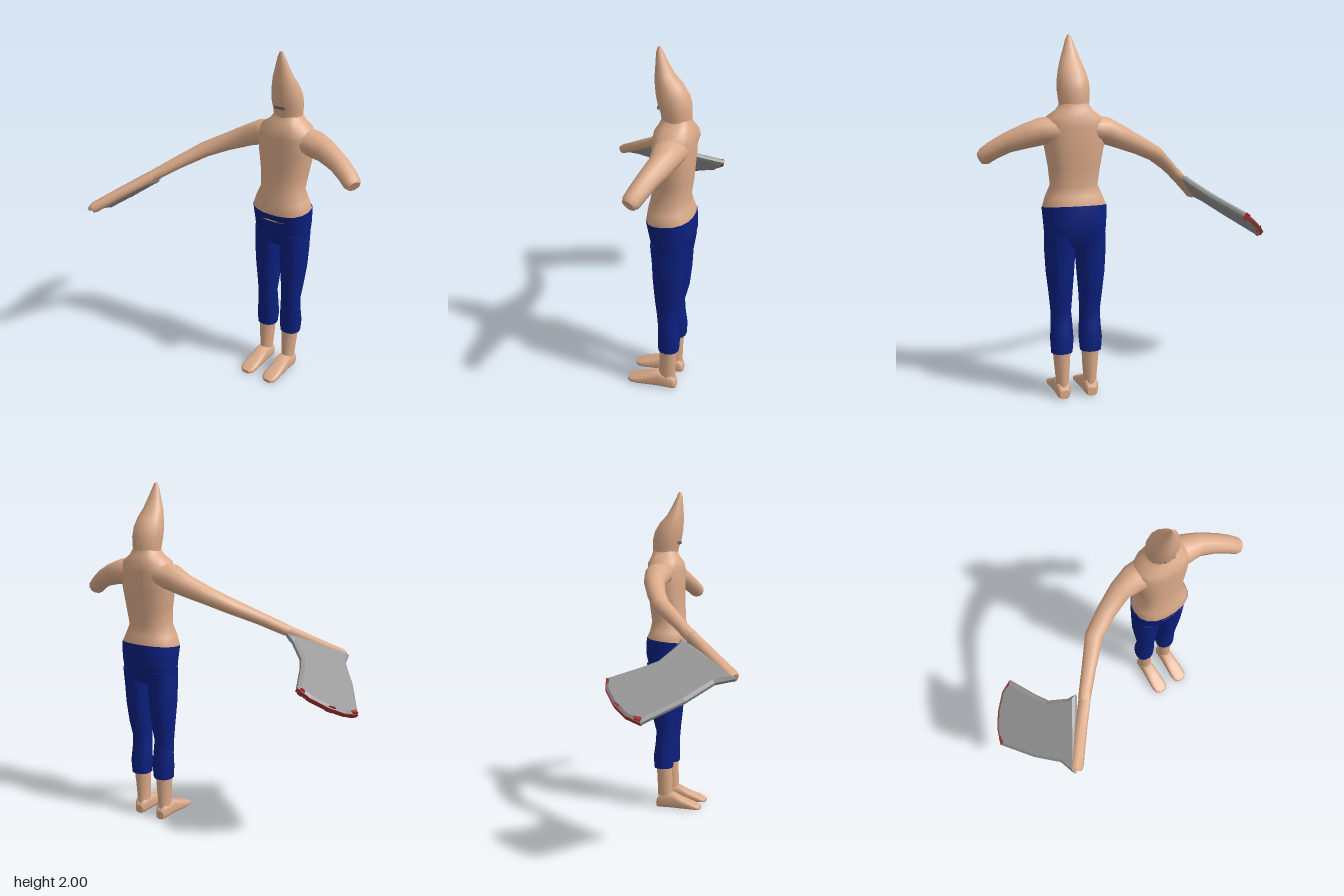
import * as THREE from 'three';

const V = (x, y, z) => new THREE.Vector3(x, y, z);
const mat = (name, color, side = THREE.FrontSide) => {
  const m = new THREE.MeshStandardMaterial({ color, side });
  m.name = name;
  return m;
};

// Superellipse ring: centre, two axes with radii, roundness power, lean along y
function ring(c, u, v, ru, rv, n = 16, p = 0.85) {
  return Array.from({ length: n }, (_, i) => {
    const a = (i / n) * Math.PI * 2;
    const e = (t) => Math.sign(t) * Math.pow(Math.abs(t), p);
    return c.clone().addScaledVector(u, ru * e(Math.cos(a))).addScaledVector(v, rv * e(Math.sin(a)));
  });
}

// Smooth skin over a stack of rings, with flat caps
function loft(rings) {
  const n = rings[0].length, pos = [], idx = [];
  rings.forEach((r) => r.forEach((q) => pos.push(q.x, q.y, q.z)));
  for (let i = 0; i < rings.length - 1; i++)
    for (let j = 0; j < n; j++) {
      const a = i * n + j, b = i * n + ((j + 1) % n);
      idx.push(a, a + n, b, b, a + n, b + n);
    }
  [rings[0], rings[rings.length - 1]].forEach((r, end) => {
    const s = pos.length / 3;
    r.forEach((q) => pos.push(q.x, q.y, q.z));
    for (let j = 1; j < n - 1; j++) end ? idx.push(s, s + j + 1, s + j) : idx.push(s, s + j, s + j + 1);
  });
  const g = new THREE.BufferGeometry();
  g.setAttribute('position', new THREE.Float32BufferAttribute(pos, 3));
  g.setIndex(idx);
  g.computeVertexNormals();
  return g;
}

// Upright loft from rows [y, centre x, half width, front z, back z, lean]
const upright = (rows, n, p) => loft(rows.map(([y, x, w, f, b, lean = 0]) =>
  ring(V(x, y, (f + b) / 2), V(1, 0, 0), V(0, lean, 1), w, (f - b) / 2, n, p)));

// Limb along a path from rows [x, y, z, half height, half depth]
function limb(rows, n = 12, p = 1) {
  const pts = rows.map((r) => V(r[0], r[1], r[2]));
  return loft(rows.map((r, i) => {
    const d = pts[Math.min(i + 1, pts.length - 1)].clone().sub(pts[Math.max(i - 1, 0)]).normalize();
    const up = V(0, 1, 0).addScaledVector(d, -d.y).normalize();
    return ring(pts[i], d.clone().cross(up), up, r[4], r[3], n, p);
  }).map((r) => r.reverse()).map((r) => r.reverse()));
}

export function createModel() {
  const group = new THREE.Group();
  const skin = mat('skin', 0xdcab8a), blue = mat('trouser blue', 0x0c2080);
  const steel = mat('steel', 0x999999), red = mat('edge red', 0xa03030);
  const dark = mat('mouth grey', 0x7c6860);
  const add = (name, geo, m, parent = group) => {
    const mesh = new THREE.Mesh(geo, m);
    mesh.name = name;
    parent.add(mesh);
    return mesh;
  };
  const MID = 0.3625;

  // Bare torso, from the waistband to the slope of the neck
  add('torso', upright([
    [1.04, MID, 0.17, -0.122, -0.372, -0.12],
    [1.09, MID, 0.175, -0.114, -0.372, -0.12],
    [1.14, MID, 0.158, -0.122, -0.355, -0.06],
    [1.20, MID, 0.13, -0.137, -0.345],
    [1.30, MID, 0.142, -0.143, -0.357],
    [1.42, MID, 0.165, -0.145, -0.365],
    [1.52, MID, 0.17, -0.143, -0.368],
    [1.57, MID, 0.15, -0.152, -0.365],
    [1.605, MID, 0.1, -0.175, -0.35],
    [1.64, MID, 0.075, -0.19, -0.34],
  ], 18, 0.85), skin);

  // Head drawn up into a point that leans forward
  add('pointedHead', upright([
    [1.56, MID, 0.08, -0.19, -0.34],
    [1.62, MID, 0.08, -0.187, -0.342],
    [1.66, MID, 0.086, -0.18, -0.342],
    [1.71, MID, 0.09, -0.163, -0.342],
    [1.76, MID, 0.087, -0.153, -0.328],
    [1.81, MID, 0.076, -0.148, -0.298],
    [1.86, MID, 0.06, -0.147, -0.25],
    [1.92, MID, 0.039, -0.15, -0.215],
    [1.97, MID, 0.022, -0.152, -0.19],
    [2.0, MID, 0.009, -0.16, -0.176],
  ], 14, 1), skin);
  const mouth = add('mouth', new THREE.BoxGeometry(0.065, 0.018, 0.008), dark);
  mouth.position.set(MID, 1.69, -0.172);
  mouth.rotation.x = 0.3;

  // Hips of the trousers
  add('trouserHips', upright([
    [0.86, MID, 0.13, -0.18, -0.33],
    [0.9, MID, 0.165, -0.152, -0.354],
    [0.95, MID, 0.171, -0.14, -0.37, -0.03],
    [1.0, MID, 0.174, -0.13, -0.381, -0.08],
    [1.085, MID, 0.179, -0.113, -0.376, -0.12],
  ], 18, 0.85), blue);

  // Legs and feet
  for (const [side, s] of [['left', 1], ['right', -1]]) {
    const leg = new THREE.Group();
    leg.name = side + 'Leg';
    group.add(leg);
    const at = (rows) => rows.map(([y, off, ...r]) => [y, MID + s * off, ...r]);
    add('trouserLeg', upright(at([
      [0.265, 0.083, 0.06, -0.2, -0.318],
      [0.34, 0.082, 0.066, -0.197, -0.322],
      [0.42, 0.081, 0.061, -0.197, -0.31],
      [0.5, 0.083, 0.058, -0.19, -0.303],
      [0.6, 0.085, 0.065, -0.178, -0.328],
      [0.72, 0.087, 0.077, -0.168, -0.34],
      [0.83, 0.086, 0.084, -0.162, -0.345],
      [0.94, 0.084, 0.083, -0.15, -0.362],
    ]), 14, 0.9), blue, leg);
    add('shin', upright(at([
      [0.03, 0.08, 0.036, -0.2, -0.296],
      [0.1, 0.08, 0.037, -0.202, -0.3],
      [0.2, 0.081, 0.046, -0.204, -0.302],
      [0.29, 0.083, 0.052, -0.206, -0.308],
    ]), 12, 1), skin, leg);
    // Flat-soled foot, heel to toe: [z, half width, height]
    add('foot', loft([
      [-0.305, 0.026, 0.05], [-0.285, 0.04, 0.09], [-0.2, 0.042, 0.1], [-0.13, 0.046, 0.066],
      [-0.07, 0.05, 0.044], [-0.035, 0.043, 0.028], [-0.018, 0.024, 0.02],
    ].map(([z, w, h]) => ring(V(MID + s * 0.08, h / 2, z), V(0, 1, 0), V(1, 0, 0), h / 2, w, 14, 0.65))), skin, leg);
  }

  // Left arm ends in a blunt stump
  add('leftArm', limb([
    [0.44, 1.5, -0.265, 0.075, 0.09],
    [0.54, 1.495, -0.262, 0.074, 0.084],
    [0.62, 1.472, -0.253, 0.066, 0.066],
    [0.72, 1.435, -0.22, 0.054, 0.058],
    [0.79, 1.395, -0.193, 0.049, 0.054],
    [0.835, 1.362, -0.173, 0.046, 0.05],
    [0.852, 1.352, -0.165, 0.034, 0.038],
  ]), skin);

  // Right arm runs straight into the weapon handle
  add('rightArm', limb([
    [0.285, 1.5, -0.265, 0.075, 0.09],
    [0.19, 1.492, -0.265, 0.074, 0.084],
    [0.1, 1.453, -0.26, 0.064, 0.064],
    [-0.02, 1.4, -0.215, 0.053, 0.056],
    [-0.14, 1.342, -0.152, 0.045, 0.052],
    [-0.25, 1.268, -0.035, 0.037, 0.041],
    [-0.36, 1.188, 0.085, 0.033, 0.035],
  ]), skin);
  add('handle', limb([
    [-0.34, 1.203, 0.064, 0.031, 0.034],
    [-0.46, 1.114, 0.205, 0.03, 0.034],
    [-0.58, 1.022, 0.352, 0.03, 0.034],
    [-0.592, 1.012, 0.368, 0.024, 0.027],
  ], 8, 0.7), skin);

  // Axe blade: outline given as x, z and laid into a sloping plane
  const slope = Math.atan(0.75), c = Math.cos(slope), s = Math.sin(slope);
  const axe = new THREE.Group();
  axe.name = 'axeHead';
  axe.applyMatrix4(new THREE.Matrix4().makeBasis(V(c, s, 0), V(0, 0, 1), V(s, -c, 0)).setPosition(-0.605, 1.012, 0));
  group.add(axe);
  const flat = (pts) => pts.map(([x, z]) => new THREE.Vector2((x + 0.605) / c, z));
  const edge = [[-0.64, -0.306], [-0.705, -0.288], [-0.785, -0.218], [-0.842, -0.14], [-0.874, -0.05]];
  const slab = (pts, thick, bevel = 0) => new THREE.ExtrudeGeometry(new THREE.Shape(flat(pts)), {
    depth: thick - bevel * 2, bevelEnabled: bevel > 0, bevelThickness: bevel,
    bevelSize: 0.018, bevelOffset: -0.018, bevelSegments: 1,
  }).translate(0, 0, bevel - thick / 2);
  add('blade', slab([
    [-0.385, 0.035], [-0.43, 0.022], [-0.526, -0.054], [-0.565, -0.13], ...edge,
    [-0.747, 0.148], [-0.64, 0.275], [-0.612, 0.378], [-0.58, 0.35],
  ], 0.04, 0.012), steel, axe);

  // Red cutting edge with a few stains
  const shrink = (k) => edge.map(([x, z]) => [-0.62 + (x + 0.62) * k, 0.02 + (z - 0.02) * k]);
  add('cuttingEdge', slab([...shrink(1.003), ...shrink(0.975).reverse()], 0.022), red, axe);
  for (const pts of [
    [[-0.868, -0.05], [-0.857, -0.085], [-0.842, -0.09], [-0.85, -0.045]],
    [[-0.648, -0.297], [-0.672, -0.291], [-0.665, -0.28], [-0.65, -0.284]],
    [[-0.775, -0.217], [-0.8, -0.185], [-0.79, -0.182]],
  ]) add('edgeStain', slab(pts, 0.042), red, axe);

  return group;
}
